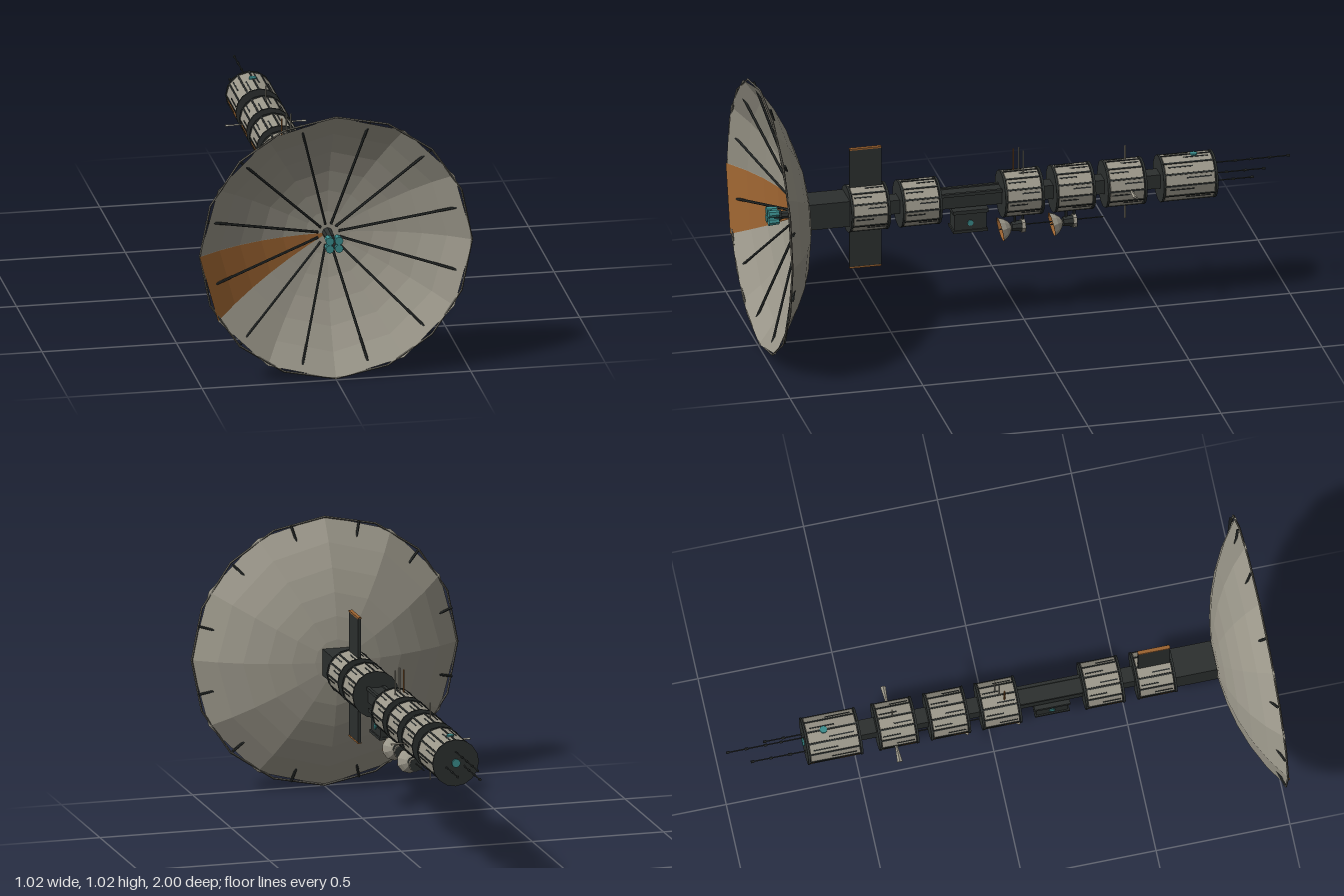
import * as THREE from 'three';

const CY = 0.512; // height of the main axis
const mat = (color) => new THREE.MeshStandardMaterial({ color, flatShading: true, side: THREE.DoubleSide });
const GREY = mat(0x9b978a), DARK = mat(0x2c302f), ORANGE = mat(0x9a6230), TEAL = mat(0x3a8c8c);

function add(parent, name, geo, material, x = 0, y = 0, z = 0) {
  const m = new THREE.Mesh(geo, material);
  m.name = name;
  m.position.set(x, y, z);
  parent.add(m);
  return m;
}

function group(parent, name, x = 0, y = 0, z = 0) {
  const g = new THREE.Group();
  g.name = name;
  g.position.set(x, y, z);
  parent.add(g);
  return g;
}

const box = (w, h, d) => new THREE.BoxGeometry(w, h, d);
// cylinder lying along z; rFront is the radius at its +z end
const cylZ = (rFront, rBack, len, sides = 12, open = false) =>
  new THREE.CylinderGeometry(rFront, rBack, len, sides, 1, open).rotateX(Math.PI / 2);

// straight rod between two points
function rod(parent, name, a, b, r, material = DARK, sides = 6) {
  const d = new THREE.Vector3().subVectors(b, a);
  const m = add(parent, name, new THREE.CylinderGeometry(r, r, d.length(), sides), material);
  m.position.copy(a).addScaledVector(d, 0.5);
  m.quaternion.setFromUnitVectors(new THREE.Vector3(0, 1, 0), d.normalize());
  return m;
}

const V = (x, y, z) => new THREE.Vector3(x, y, z);

// large faceted dish with one coloured sector, spokes, rim ring and feed
function buildDish(parent) {
  const dish = group(parent, 'mainDish');
  const R = 0.83, rim = 0.508, z0 = 0.822;
  const profile = [];
  for (let i = 0; i <= 6; i++) {
    const r = (rim * i) / 6;
    profile.push(new THREE.Vector2(r, z0 + R - Math.sqrt(R * R - r * r)));
  }
  const bowl = (segs, start, len) => new THREE.LatheGeometry(profile, segs, start, len).rotateX(Math.PI / 2);
  add(dish, 'dishBowl', bowl(12, 0, Math.PI * 2), GREY);
  add(dish, 'dishColouredSector', bowl(1, Math.PI * 1.5, Math.PI / 6), ORANGE, 0, 0, 0.003);
  add(dish, 'rimRing', new THREE.TorusGeometry(0.506, 0.004, 4, 16), DARK.clone(), 0, 0, 0.992)
    .material.color.set(0x5c5a52);
  for (let i = 0; i < 12; i++) {
    const a = ((i + 0.5) * Math.PI) / 6, c = Math.cos(a), s = Math.sin(a);
    rod(dish, 'dishSpoke', V(0.04 * c, 0.04 * s, 0.84), V(0.5 * c, 0.5 * s, 0.985), 0.005);
  }
  // central feed
  add(dish, 'feedStem', cylZ(0.014, 0.02, 0.12, 8), DARK, 0, 0, 0.88);
  add(dish, 'feedHub', cylZ(0.022, 0.022, 0.03, 8), DARK, 0, 0, 0.93);
  for (const x of [-1, 1]) for (const y of [-1, 1])
    add(dish, 'feedHorn', cylZ(0.016, 0.013, 0.04, 8), TEAL, x * 0.017, y * 0.015, 0.945);
}

// drum with flanged ends and a ring of plates around it
function buildModule(parent, z, len) {
  const g = group(parent, 'drumModule', 0, 0, z);
  add(g, 'drumCore', cylZ(0.076, 0.076, len - 0.01, 12), DARK);
  for (const s of [-1, 1]) {
    add(g, 'endFlange', cylZ(0.088, 0.088, 0.008, 16), DARK, 0, 0, s * (len / 2 - 0.004));
    add(g, 'innerBand', cylZ(0.083, 0.083, 0.006, 16), DARK, 0, 0, s * (len / 2 - 0.022));
  }
  for (let i = 0; i < 12; i++) {
    const side = group(g, 'plateBay');
    side.rotation.z = ((i + 0.5) * Math.PI) / 6;
    add(side, 'plate', box(0.014, 0.037, len - 0.022), i === 6 ? ORANGE : GREY, 0.076, 0, 0);
    const shift = (i % 2 ? 1 : -1) * len * 0.16;
    add(side, 'plateGroove', box(0.003, 0.005, len * 0.45), DARK, 0.083, 0.006, shift);
    const batten = group(g, 'battenBay');
    batten.rotation.z = (i * Math.PI) / 6;
    add(batten, 'batten', box(0.01, 0.006, len - 0.01), DARK, 0.082, 0, 0);
  }
}

// small dish slung under a drum
function buildSmallDish(parent, z) {
  const g = group(parent, 'smallDishUnit', 0, -0.135, z);
  const cup = group(g, 'smallDish', 0, -0.003, 0.058);
  cup.rotation.x = 0.2;
  const pts = [[0.006, -0.02], [0.022, -0.012], [0.036, 0.002], [0.046, 0.02]].map((p) => new THREE.Vector2(...p));
  const cupGeo = () => new THREE.LatheGeometry(pts, 10).rotateX(Math.PI / 2);
  add(cup, 'smallDishCup', cupGeo(), GREY);
  add(cup, 'smallDishLining', cupGeo(), ORANGE, 0, 0, 0.002);
  rod(cup, 'smallDishFeed', V(0, 0, -0.02), V(0, 0, 0.025), 0.003);
  add(g, 'dishBody', cylZ(0.018, 0.025, 0.05, 8), DARK, 0, 0, 0.012);
  add(g, 'dishBodyBand', cylZ(0.027, 0.027, 0.012, 8), GREY, 0, 0, -0.005);
  rod(g, 'dishSpike', V(0, 0.004, -0.01), V(0, 0.004, -0.115), 0.0025);
  for (const dz of [0.025, -0.005]) rod(g, 'dishPost', V(0, 0, dz), V(0, 0.065, dz), 0.005);
}

// beaded tail antenna
function buildTailAntenna(parent, x, y, end) {
  const g = group(parent, 'tailAntenna', x, y, 0);
  rod(g, 'antennaRod', V(0, 0, -0.69), V(0, 0, end), 0.0025);
  for (let i = 0; i < 4; i++)
    add(g, 'antennaBead', cylZ(0.005, 0.005, 0.012, 6), DARK, 0, 0, end + 0.006 + i * 0.07 * (i < 3 ? 1 : 0.95));
}

export function createModel() {
  const model = new THREE.Group();
  model.name = 'spaceProbe';
  const craft = group(model, 'craft', 0, CY, 0);

  buildDish(craft);

  // spine and the block behind the dish
  add(craft, 'spine', box(0.06, 0.054, 1.4), DARK, 0, 0, 0.0);
  add(craft, 'dishMount', box(0.115, 0.1, 0.17), DARK, 0, 0.003, 0.737);

  // drums along the spine
  for (const z of [0.594, 0.4, 0.015, -0.177, -0.37]) buildModule(craft, z, 0.148);
  buildModule(craft, -0.608, 0.205);

  // upright panels with coloured tips
  for (const s of [-1, 1]) {
    add(craft, 'finPanel', box(0.012, 0.17, 0.12), DARK, 0, s * 0.15, 0.597);
    add(craft, 'finTip', box(0.014, 0.006, 0.12), ORANGE, 0, s * 0.235, 0.597);
  }

  // equipment box under the spine
  const pod = group(craft, 'equipmentPod', 0, -0.08, 0.21);
  add(pod, 'podBody', box(0.07, 0.085, 0.12), DARK);
  add(pod, 'podLid', box(0.088, 0.014, 0.134), DARK, 0, 0.038, 0);
  add(pod, 'podBase', box(0.08, 0.01, 0.13), DARK, 0, -0.04, 0);
  for (const s of [-1, 1]) {
    add(pod, 'podPort', new THREE.CylinderGeometry(0.011, 0.011, 0.006, 10).rotateZ(Math.PI / 2), TEAL, s * 0.036, -0.008, 0);
    add(craft, 'spineRail', box(0.012, 0.012, 0.25), DARK, s * 0.03, 0.026, 0.21);
  }

  buildSmallDish(craft, 0.01);
  buildSmallDish(craft, -0.183);

  // whip antennas on top of the middle drum
  [[-0.02, 0.035, 0.165], [0, 0.02, 0.178], [0.02, 0.007, 0.172]].forEach(([x, z, h], i) =>
    rod(craft, 'whipAntenna', V(x, 0.07, z), V(x, h, z), 0.003, i === 0 ? ORANGE : GREY));

  // cross of blades and rods on the fifth drum
  for (const s of [-1, 1]) {
    const blade = add(craft, 'sideBlade', new THREE.CylinderGeometry(0.01, 0.004, 0.07, 4), GREY, s * 0.115, 0, -0.383);
    blade.rotation.z = -s * Math.PI / 2;
    blade.scale.x = 0.4;
    rod(craft, 'uprightRod', V(0, s * 0.07, -0.38), V(0, s * 0.145, -0.38), 0.003, GREY);
  }

  // tail: ports and antennas
  add(craft, 'tailPort', cylZ(0.016, 0.016, 0.01, 10), TEAL, 0, 0, -0.712);
  add(craft, 'topPort', new THREE.CylinderGeometry(0.014, 0.014, 0.008, 10), TEAL, 0, 0.085, -0.637);
  buildTailAntenna(craft, 0, 0.042, -1);
  buildTailAntenna(craft, -0.033, -0.015, -0.915);
  buildTailAntenna(craft, 0.034, -0.015, -0.855);

  return model;
}
